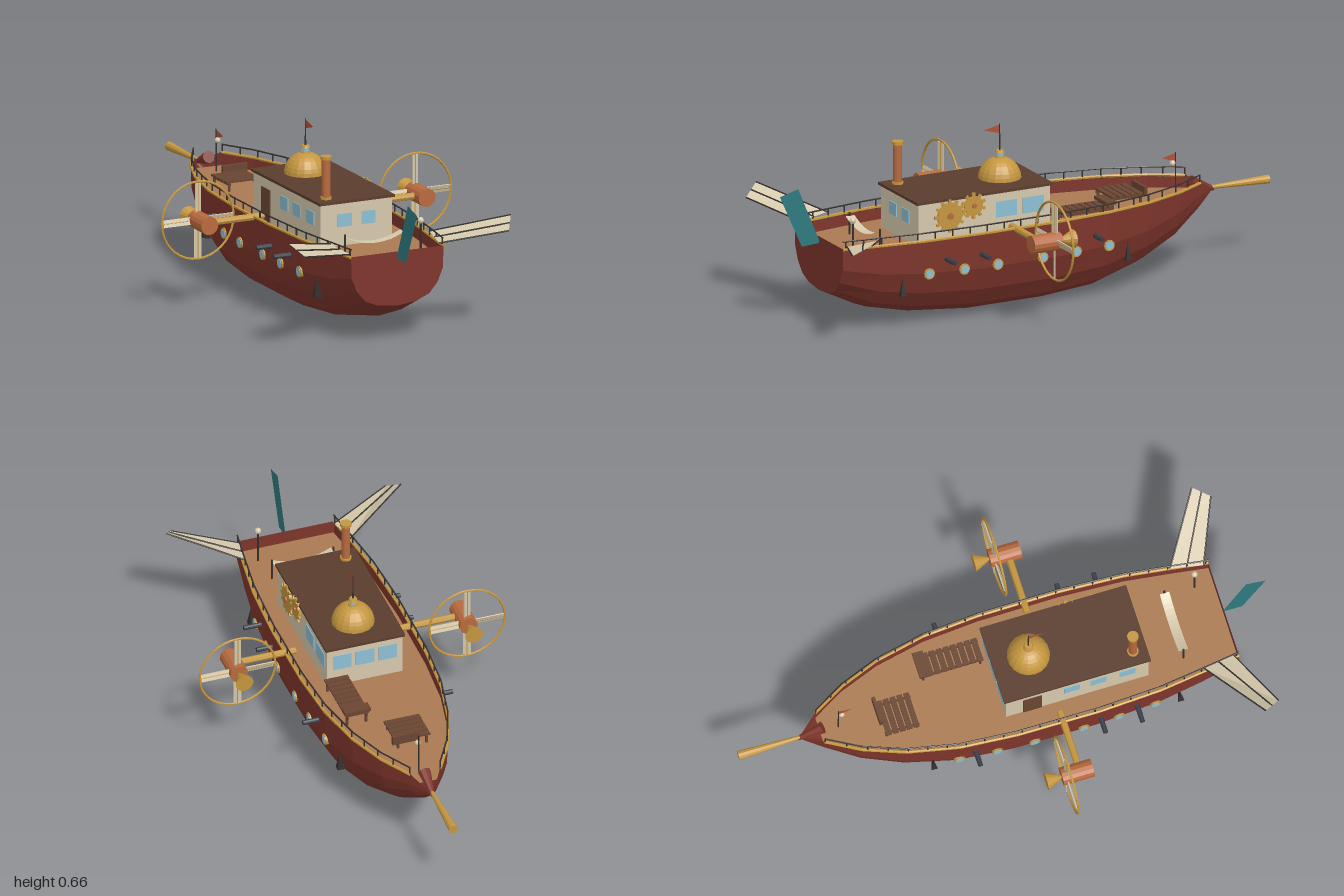
import * as THREE from 'three';

const mat = (color, extra = {}) => new THREE.MeshStandardMaterial({ color, flatShading: true, ...extra });
const DS = { side: THREE.DoubleSide };
const M = {
  hull: mat(0x7e352b, DS), deck: mat(0xaa7a52, DS), roof: mat(0x5a3d2d), cream: mat(0xd6c9ac, DS),
  gold: mat(0xc4963f), copper: mat(0xb86a3e), teal: mat(0x2f7a80, DS), glass: mat(0x8cc0d4),
  dark: mat(0x34302e, DS), iron: mat(0x3a3d48), red: mat(0xb0503c, DS), wood: mat(0x6a4632),
};
const V = (x, y, z) => new THREE.Vector3(x, y, z);

// Hull stations from stern to bow: z, half width, keel height, rim height
const STATIONS = [
  [0.84, 0.187, 0.137, 0.34], [0.695, 0.208, 0.065, 0.34], [0.53, 0.23, 0.027, 0.34],
  [0.29, 0.242, 0.003, 0.34], [-0.02, 0.24, 0.003, 0.34], [-0.23, 0.224, 0.02, 0.34],
  [-0.42, 0.184, 0.075, 0.34], [-0.57, 0.127, 0.14, 0.34], [-0.69, 0.058, 0.22, 0.34],
  [-0.76, 0.008, 0.28, 0.298],
];
// Half cross-section: width fraction, height fraction
const SECTION = [[1, 1], [0.99, 0.6], [0.87, 0.34], [0.69, 0.15], [0.42, 0.045], [0, 0]];
const RING = [...SECTION, ...SECTION.slice(0, -1).reverse().map(([u, v]) => [-u, v])];

// Half width of the rim at any z
function halfWidth(z) {
  for (let i = 1; i < STATIONS.length; i++) {
    const a = STATIONS[i - 1], b = STATIONS[i];
    if (z >= b[0]) return THREE.MathUtils.lerp(b[1], a[1], (z - b[0]) / (a[0] - b[0]));
  }
  return 0.008;
}

function polygon(points, tris) {
  const geo = new THREE.BufferGeometry();
  geo.setAttribute('position', new THREE.Float32BufferAttribute(points.flat(), 3));
  geo.setIndex(tris);
  const flat = geo.toNonIndexed();
  flat.computeVertexNormals();
  return flat;
}

function hullGeometry() {
  const n = RING.length, points = [], tris = [];
  for (const [z, w, yb, yt] of STATIONS) for (const [u, v] of RING) points.push([u * w, yb + v * (yt - yb), z]);
  for (let i = 0; i < STATIONS.length - 1; i++) for (let j = 0; j < n - 1; j++) {
    const a = i * n + j, c = a + n;
    tris.push(a, a + 1, c, a + 1, c + 1, c);
  }
  for (let j = 1; j < n - 1; j++) tris.push(0, j + 1, j); // transom
  return polygon(points, tris);
}

export function createModel() {
  const root = new THREE.Group();
  const add = (name, geo, material, x = 0, y = 0, z = 0, parent = root) => {
    const m = new THREE.Mesh(geo, material);
    m.name = name;
    m.position.set(x, y, z);
    parent.add(m);
    return m;
  };
  const box = (name, w, h, d, material, x, y, z, parent) => add(name, new THREE.BoxGeometry(w, h, d), material, x, y, z, parent);
  // Round bar from a to b, radius ra at a and rb at b
  const rod = (name, a, b, ra, material, rb = ra, sides = 8, parent = root) => {
    const m = add(name, new THREE.CylinderGeometry(rb, ra, a.distanceTo(b), sides), material, 0, 0, 0, parent);
    m.position.copy(a).add(b).multiplyScalar(0.5);
    m.quaternion.setFromUnitVectors(V(0, 1, 0), b.clone().sub(a).normalize());
    return m;
  };

  // Hull and deck
  add('hull', hullGeometry(), M.hull);
  const outline = STATIONS.slice(0, -1).map(([z, w]) => [w * 0.985, -z]);
  const deckShape = new THREE.Shape([...outline, ...outline.slice().reverse().map(([x, y]) => [-x, y])].map(p => new THREE.Vector2(...p)));
  add('deck', new THREE.ShapeGeometry(deckShape).rotateX(-Math.PI / 2), M.deck, 0, 0.29, 0);

  for (const s of [1, -1]) {
    // Gold rim and railing
    for (let i = 0; i < STATIONS.length - 2; i++) {
      const [[z0, w0], [z1, w1]] = [STATIONS[i], STATIONS[i + 1]];
      rod('rimTrim', V(s * w0, 0.338, z0), V(s * w1, 0.338, z1), 0.006, M.gold, 0.006, 6);
      rod('handrail', V(s * w0 * 0.99, 0.368, z0), V(s * w1 * 0.99, 0.368, z1), 0.003, M.dark, 0.003, 5);
    }
    for (let z = 0.83; z > -0.69; z -= 0.069) {
      const x = s * halfWidth(z) * 0.99;
      rod('railPost', V(x, 0.33, z), V(x, 0.368, z), 0.003, M.dark, 0.003, 5);
    }

    // Portholes
    for (const z of [0.51, 0.37, 0.235, 0.05, -0.09, -0.23]) {
      const x = s * halfWidth(z) * 0.99;
      rod('portholeFrame', V(x - s * 0.02, 0.213, z), V(x + s * 0.006, 0.213, z), 0.021, M.gold, 0.021, 12);
      rod('portholeGlass', V(x, 0.213, z), V(x + s * 0.008, 0.213, z), 0.016, M.glass, 0.016, 12);
    }
    // Cannons
    for (const [z, end] of [[0.44, 0.3], [0.3, 0.3], [-0.17, 0.287]])
      rod('cannon', V(s * 0.19, 0.26, z), V(s * end, 0.26, z), 0.01, M.iron, 0.009, 10);
    // Small side fins
    for (const z of [0.61, -0.32]) {
      const x = s * halfWidth(z);
      add('sideFin', polygon([[x * 0.97, 0.21, z], [x * 0.84, 0.13, z], [x * 1.02, 0.14, z + 0.012], [x * 1.02, 0.14, z - 0.012]],
        [0, 1, 2, 0, 2, 3, 0, 3, 1, 1, 3, 2]), M.dark);
    }

    // Propeller with strut, motor, cone and ring
    const prop = new THREE.Group();
    prop.name = 'propeller';
    prop.position.set(s * 0.44, 0.335, 0.108);
    root.add(prop);
    rod('strut', V(s * 0.2, 0.335, 0.158), V(s * 0.42, 0.335, 0.158), 0.013, M.gold);
    rod('motor', V(0, 0, -0.02), V(0, 0, 0.097), 0.034, M.copper, 0.034, 14, prop);
    rod('cone', V(0, 0, -0.078), V(0, 0, -0.02), 0.034, M.gold, 0.006, 14, prop);
    add('ring', new THREE.TorusGeometry(0.145, 0.0045, 6, 36), M.gold, 0, 0, 0, prop);
    for (let k = 0; k < 4; k++) {
      const arm = new THREE.Group();
      arm.name = 'bladeArm';
      arm.rotation.z = k * Math.PI / 2;
      prop.add(arm);
      box('blade', 0.028, 0.115, 0.004, M.cream, 0, 0.082, 0, arm).rotation.y = 0.35;
      rod('spoke', V(0, 0, 0), V(0, 0.145, 0), 0.003, M.gold, 0.003, 6, arm);
    }

    // Tail fin panels with a dark rib
    const fin = [V(s * 0.2, 0.358, 0.7), V(s * 0.45, 0.428, 0.86), V(s * 0.412, 0.387, 0.92), V(s * 0.18, 0.345, 0.82)];
    add('tailFin', polygon(fin.map(p => p.toArray()), [0, 1, 2, 0, 2, 3]), M.cream);
    for (const t of [0, 0.5, 1])
      rod('finRib', fin[0].clone().lerp(fin[3], t), fin[1].clone().lerp(fin[2], t), 0.003, M.dark, 0.003, 5);
  }

  // Rudder and bowsprit
  add('rudder', polygon([[0, 0.51, 1], [0, 0.53, 0.925], [0, 0.315, 0.835], [0, 0.31, 0.91]], [0, 1, 2, 0, 2, 3]), M.teal);
  rod('bowsprit', V(0, 0.297, -0.74), V(0, 0.294, -1), 0.006, M.gold, 0.017, 10);
  rod('stemCap', V(0, 0.33, -0.68), V(0, 0.29, -0.775), 0.024, M.hull, 0.008, 8);

  // Cabin
  box('cabin', 0.29, 0.16, 0.54, M.cream, 0, 0.37, 0.24);
  box('roof', 0.304, 0.01, 0.556, M.roof, 0, 0.454, 0.24);
  for (const x of [-0.048, 0.048]) box('sternWindow', 0.056, 0.048, 0.006, M.glass, x, 0.385, 0.51);
  for (const x of [-0.088, 0, 0.088]) box('bowWindow', 0.07, 0.06, 0.006, M.glass, x, 0.39, -0.03);
  for (const z of [0.04, 0.15]) box('sideWindow', 0.006, 0.06, 0.085, M.glass, 0.145, 0.387, z);
  for (const z of [0.22, 0.32, 0.43]) box('sideWindow', 0.006, 0.05, 0.06, M.glass, -0.145, 0.388, z);
  box('door', 0.006, 0.12, 0.07, M.wood, -0.145, 0.35, 0.07);

  // Gears on the cabin wall
  for (const [y, z, r, teeth] of [[0.393, 0.385, 0.05, 12], [0.418, 0.288, 0.037, 10]]) {
    const gear = new THREE.Group();
    gear.name = 'gear';
    gear.position.set(0.153, y, z);
    root.add(gear);
    rod('gearDisc', V(-0.006, 0, 0), V(0.004, 0, 0), r, M.gold, r, 20, gear);
    rod('gearHub', V(0, 0, 0), V(0.009, 0, 0), r * 0.25, M.copper, r * 0.25, 10, gear);
    for (let k = 0; k < teeth; k++) {
      const a = k / teeth * Math.PI * 2;
      box('tooth', 0.008, 0.016, 0.011, M.gold, 0, Math.cos(a) * (r + 0.004), Math.sin(a) * (r + 0.004), gear).rotation.x = a;
    }
  }

  // Dome with finial
  add('dome', new THREE.SphereGeometry(0.079, 18, 8, 0, Math.PI * 2, 0, Math.PI / 2), M.gold, 0, 0.457, 0.1);
  rod('domeLantern', V(0, 0.53, 0.1), V(0, 0.556, 0.1), 0.014, M.glass, 0.014, 8);
  rod('lanternCap', V(0, 0.552, 0.1), V(0, 0.562, 0.1), 0.018, M.gold, 0.014, 10);
  rod('lanternBase', V(0, 0.53, 0.1), V(0, 0.54, 0.1), 0.019, M.gold, 0.017, 10);

  // Flags on poles
  for (const [z, y0, y1, len] of [[0.1, 0.56, 0.66, 0.065], [-0.62, 0.29, 0.45, 0.055]]) {
    rod('flagPole', V(0, y0, z), V(0, y1, z), 0.003, M.dark, 0.002, 6);
    add('flag', polygon([[0, y1 - 0.003, z], [0, y1 - 0.016, z + len], [0, y1 - 0.036, z]], [0, 1, 2]), M.red);
  }
  // Lamps at bow and stern
  add('bowLamp', new THREE.SphereGeometry(0.011, 10, 8), M.cream, 0, 0.41, -0.608);
  rod('lampPost', V(0.13, 0.29, 0.77), V(0.13, 0.42, 0.77), 0.004, M.dark);
  add('sternLamp', new THREE.SphereGeometry(0.012, 10, 8), M.cream, 0.13, 0.424, 0.77);

  // Chimney
  rod('chimney', V(-0.1, 0.45, 0.465), V(-0.1, 0.615, 0.465), 0.016, M.copper, 0.016, 14);
  rod('chimneyCap', V(-0.1, 0.608, 0.465), V(-0.1, 0.62, 0.465), 0.021, M.gold, 0.021, 14);
  rod('chimneyBase', V(-0.1, 0.457, 0.465), V(-0.1, 0.467, 0.465), 0.021, M.gold, 0.021, 14);

  // Hammock between two posts at the stern
  for (const x of [-0.118, 0.118]) rod('hammockPost', V(x, 0.29, 0.652), V(x, 0.372, 0.652), 0.004, M.dark);
  const sling = new THREE.PlaneGeometry(0.23, 0.036, 12, 1).rotateX(-Math.PI / 2);
  const p = sling.attributes.position;
  for (let i = 0; i < p.count; i++) p.setY(i, 0.36 - 0.028 * (1 - (p.getX(i) / 0.115) ** 2));
  add('hammock', sling, M.cream, 0, 0, 0.652);

  // Slatted deck loungers
  for (const [name, x, z, w, len, n, y] of [['foreLounger', -0.03, -0.405, 0.136, 0.13, 5, 0.325], ['sideLounger', 0.117, -0.165, 0.09, 0.24, 9, 0.335]]) {
    for (let k = 0; k < n; k++) box(name + 'Slat', w, 0.007, len / n * 0.8, M.wood, x, y, z - len / 2 + (k + 0.5) * len / n);
    for (const s of [1, -1]) {
      box(name + 'Rail', 0.007, 0.01, len, M.wood, x + s * w * 0.4, y - 0.008, z);
      for (const t of [1, -1]) box(name + 'Leg', 0.008, y - 0.29, 0.008, M.wood, x + s * w * 0.4, (y + 0.29) / 2, z + t * len * 0.45);
    }
  }
  box('foreLoungerBack', 0.1, 0.035, 0.012, M.wood, 0, 0.335, -0.473);
  box('sideLoungerBack', 0.1, 0.012, 0.04, M.wood, 0.117, 0.35, -0.27);

  return root;
}
